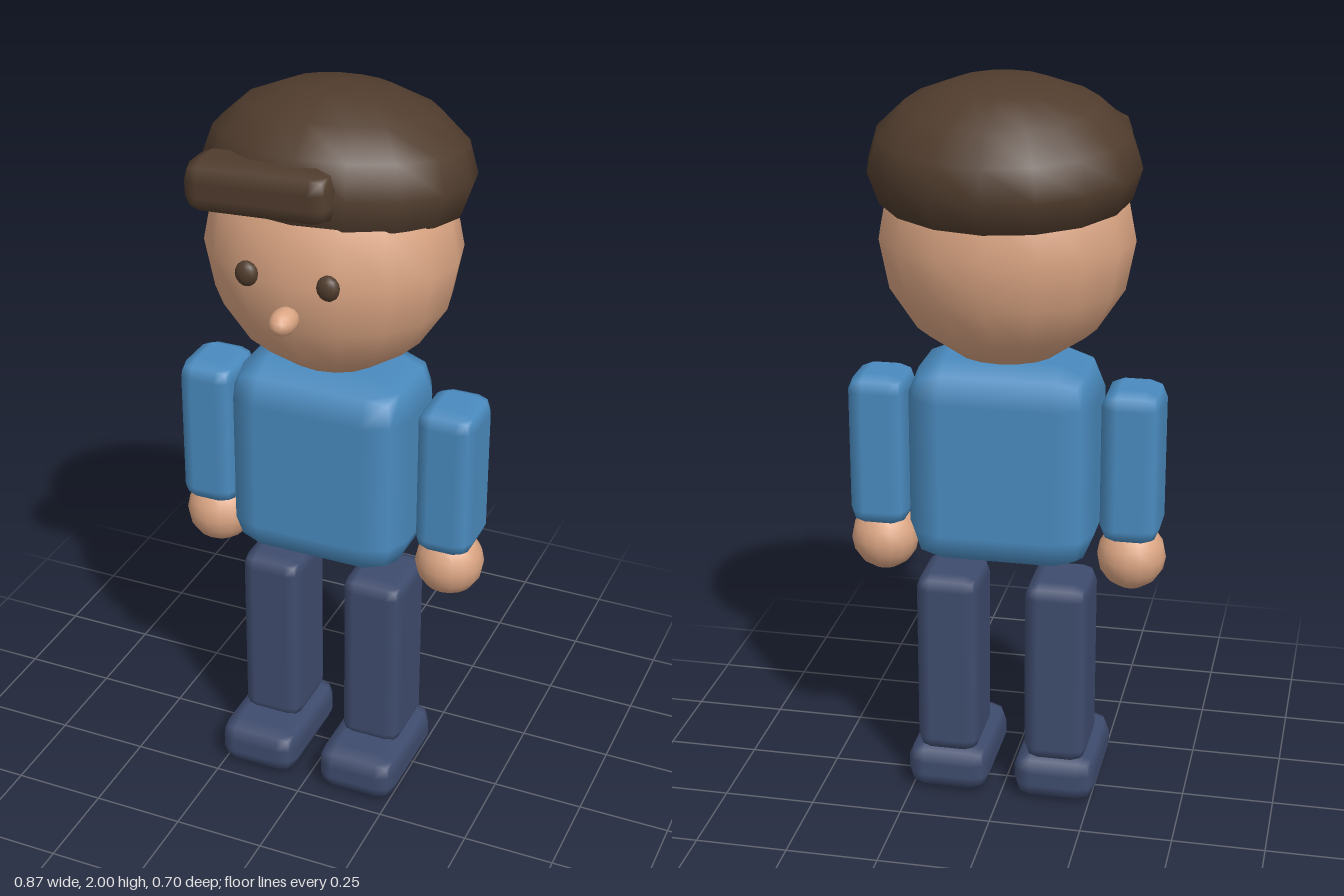
import * as THREE from 'three';
import { RoundedBoxGeometry } from 'three/addons/geometries/RoundedBoxGeometry.js';

export function createModel() {
  const model = new THREE.Group();
  const material = (name, color) => {
    const m = new THREE.MeshStandardMaterial({ color });
    m.name = name;
    return m;
  };
  const skin = material('skin', 0xdba583);
  const hairBrown = material('hair brown', 0x503c2d);
  const shirtBlue = material('shirt blue', 0x4a8bbf);
  const trouserNavy = material('trouser navy', 0x3f4c6e);

  const add = (name, geometry, mat, x, y, z) => {
    const mesh = new THREE.Mesh(geometry, mat);
    mesh.name = name;
    mesh.position.set(x, y, z);
    model.add(mesh);
    return mesh;
  };
  const box = (w, h, d, r) => new RoundedBoxGeometry(w, h, d, 1, r);
  const ellipsoid = (rx, ry, rz, theta = Math.PI, rings = 8) =>
    new THREE.SphereGeometry(1, 16, rings, 0, Math.PI * 2, 0, theta).scale(rx, ry, rz);

  // Body and head
  add('torso', box(0.5, 0.565, 0.35, 0.1), shirtBlue, 0, 0.9825, 0);
  add('head', ellipsoid(0.335, 0.34, 0.295), skin, 0, 1.585, -0.005);
  add('nose', ellipsoid(0.035, 0.034, 0.05), skin, 0, 1.5, 0.3);

  // Cap of hair, tilted back, closed underneath
  const rim = Math.PI * 0.625;
  const hair = add('hair', ellipsoid(0.352, 0.22, 0.31, rim, 5), hairBrown, 0, 1.78, -0.04);
  hair.rotation.x = -0.12;
  const underside = new THREE.Mesh(
    new THREE.CircleGeometry(Math.sin(rim), 16).rotateX(Math.PI / 2).scale(0.352, 1, 0.31), hairBrown);
  underside.name = 'hairUnderside';
  underside.position.y = 0.22 * Math.cos(rim);
  hair.add(underside);

  // Swept fringe
  const fringe = add('fringe', box(0.395, 0.138, 0.16, 0.05), hairBrown, -0.087, 1.805, 0.212);
  fringe.rotation.z = 0.05;

  // Paired parts
  for (const [side, s] of [['left', 1], ['right', -1]]) {
    add(side + 'Eye', ellipsoid(0.03, 0.033, 0.021), hairBrown, s * 0.108, 1.6, 0.28);
    add(side + 'Arm', box(0.16, 0.425, 0.19, 0.045), shirtBlue, s * 0.34, 0.9875, -0.003);
    add(side + 'Hand', ellipsoid(0.093, 0.093, 0.091), skin, s * 0.34, 0.718, 0);
    add(side + 'Leg', box(0.175, 0.53, 0.213, 0.04), trouserNavy, s * 0.15, 0.38, -0.002);
    add(side + 'Foot', box(0.23, 0.135, 0.34, 0.05), trouserNavy, s * 0.15, 0.0675, 0.045);
  }
  return model;
}
